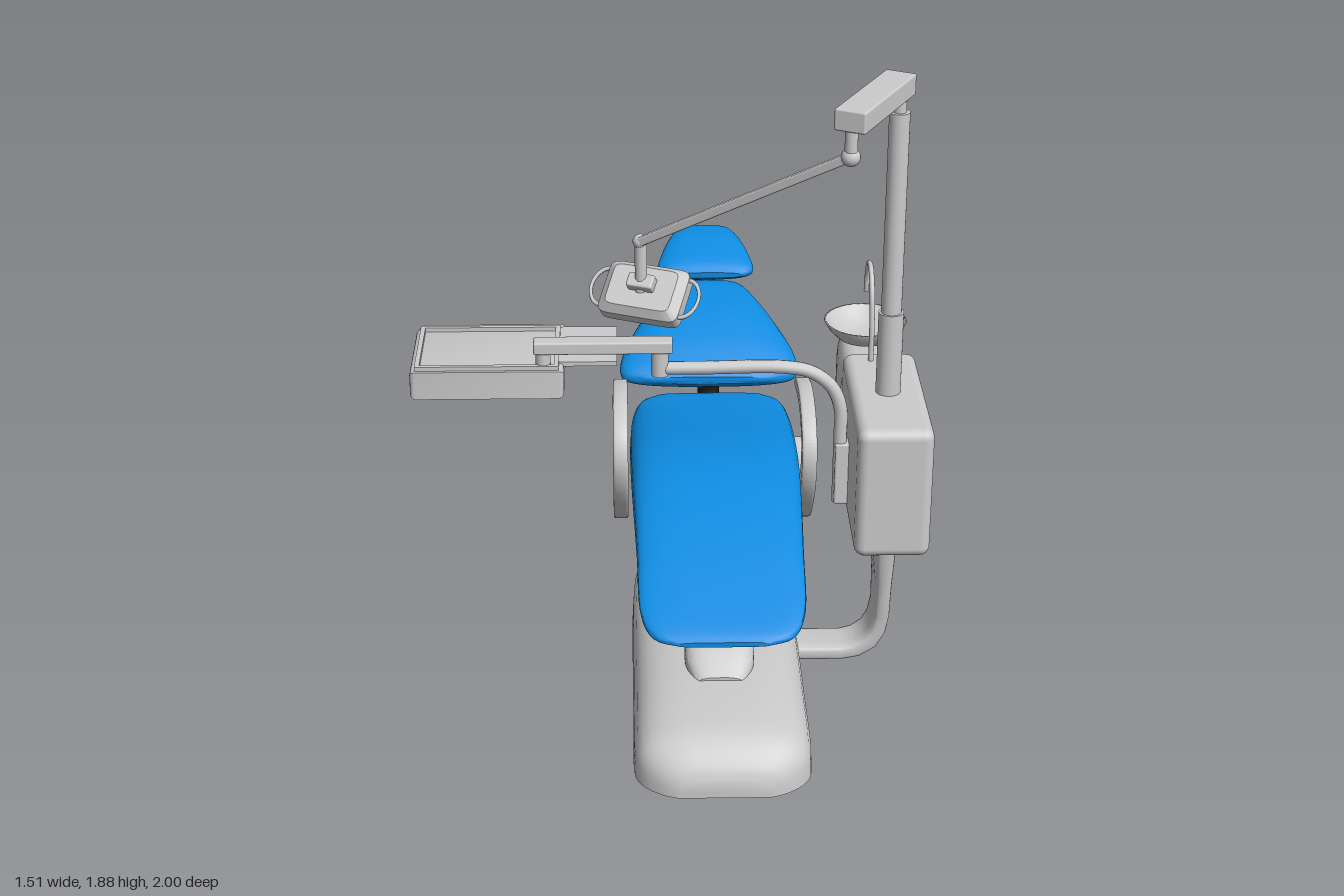
import * as THREE from 'three';
import { toCreasedNormals } from 'three/addons/utils/BufferGeometryUtils.js';
import { RoundedBoxGeometry } from 'three/addons/geometries/RoundedBoxGeometry.js';

const V = (x, y, z) => new THREE.Vector3(x, y, z);
const grey = new THREE.MeshStandardMaterial({ color: 0xcccccc });
const greyThin = new THREE.MeshStandardMaterial({ color: 0xcccccc, side: THREE.DoubleSide });
const blue = new THREE.MeshStandardMaterial({ color: 0x0d8be0 });
const black = new THREE.MeshStandardMaterial({ color: 0x111111 });
const CX = 0.145; // chair centre line

// Superellipse ring around c with half axes u and v; flat cuts off the lower half
function ring(c, u, v, e, flat = false, n = 32) {
  const pow = (t) => Math.sign(t) * Math.abs(t) ** (2 / e);
  return Array.from({ length: n }, (_, i) => {
    const a = (i / n) * Math.PI * 2, s = pow(Math.sin(a));
    return c.clone().addScaledVector(u, pow(Math.cos(a))).addScaledVector(v, flat ? Math.max(0, s) : s);
  });
}

// Closed skin over rings that advance along u x v
function loft(rings, crease = 0.7) {
  const n = rings[0].length, last = rings.length - 1, index = [];
  const pts = rings.flat();
  for (let i = 0; i < last; i++) for (let j = 0; j < n; j++) {
    const k = (j + 1) % n, a = i * n + j, b = i * n + k;
    index.push(a, b, b + n, a, b + n, a + n);
  }
  for (const [r, start] of [[0, true], [last, false]]) {
    const mid = pts.length;
    pts.push(rings[r].reduce((s, p) => s.add(p), V(0, 0, 0)).divideScalar(n));
    for (let j = 0; j < n; j++) {
      const a = r * n + j, b = r * n + (j + 1) % n;
      index.push(mid, start ? b : a, start ? a : b);
    }
  }
  const g = new THREE.BufferGeometry().setFromPoints(pts);
  g.setIndex(index);
  return toCreasedNormals(g, crease);
}

// Smooth body along z from stations [z, halfWidth, bottom, top], back to front
function body(cx, stations, e, flat = false, steps = 36) {
  const spline = (f) => new THREE.CatmullRomCurve3(stations.map(f), false, 'catmullrom');
  const A = spline((s) => V(s[0], s[1], 0)), B = spline((s) => V(s[2], s[3], 0));
  return loft(Array.from({ length: steps + 1 }, (_, i) => {
    const { x: z, y: w } = A.getPoint(i / steps), { x: lo, y: hi } = B.getPoint(i / steps);
    return flat ? ring(V(cx, lo, z), V(w, 0, 0), V(0, hi - lo, 0), e, true)
      : ring(V(cx, (lo + hi) / 2, z), V(w, 0, 0), V(0, (hi - lo) / 2, 0), e);
  }));
}

// Side outline in (z, y) extruded across x, centred on x = 0
function sideExtrude(shape, width, bevel) {
  const g = new THREE.ExtrudeGeometry(shape, {
    depth: width - 2 * bevel, bevelSize: bevel, bevelThickness: bevel, bevelOffset: -bevel, bevelSegments: 3, curveSegments: 40,
  });
  g.rotateY(-Math.PI / 2).translate(width / 2 - bevel, 0, 0);
  return toCreasedNormals(g, 0.6);
}

const tube = (pts, r, seg = 32) => new THREE.TubeGeometry(new THREE.CatmullRomCurve3(pts), seg, r, 12);

export function createModel() {
  const model = new THREE.Group();
  const add = (name, geo, mat = grey, x = 0, y = 0, z = 0, parent = model) => {
    const m = new THREE.Mesh(geo, mat);
    m.name = name;
    m.position.set(x, y, z);
    parent.add(m);
    return m;
  };
  const post = (name, x, z, y0, y1, r, parent) =>
    add(name, new THREE.CylinderGeometry(r, r, y1 - y0, 20), grey, x, (y0 + y1) / 2, z, parent);

  // Foot and lifting arm
  add('base', body(CX, [[-0.31, 0.15, 0, 0.03], [-0.28, 0.2, 0, 0.06], [-0.2, 0.24, 0, 0.085], [0, 0.253, 0, 0.125],
    [0.3, 0.255, 0, 0.16], [0.6, 0.255, 0, 0.172], [0.85, 0.255, 0, 0.16], [0.93, 0.235, 0, 0.135], [0.98, 0.18, 0, 0.09], [1, 0.13, 0, 0.05]], 3.4, true));
  add('liftArm', body(CX, [[-0.12, 0.08, 0.5, 0.58], [0.05, 0.08, 0.4, 0.57], [0.2, 0.08, 0.27, 0.46], [0.35, 0.085, 0.17, 0.33],
    [0.47, 0.1, 0.13, 0.275], [0.58, 0.1, 0.12, 0.235], [0.66, 0.07, 0.12, 0.18]], 3));

  // Cushions
  add('seat', body(CX, [[-0.34, 0.17, 0.59, 0.615], [-0.31, 0.225, 0.535, 0.62], [-0.24, 0.25, 0.46, 0.625], [-0.1, 0.257, 0.46, 0.64],
    [0.1, 0.257, 0.475, 0.66], [0.3, 0.252, 0.485, 0.645], [0.55, 0.242, 0.48, 0.57], [0.75, 0.235, 0.435, 0.49],
    [0.84, 0.2, 0.415, 0.45], [0.87, 0.13, 0.415, 0.43]], 3.6), blue);
  add('backrest', body(CX, [[-0.81, 0.08, 0.785, 0.805], [-0.79, 0.12, 0.755, 0.815], [-0.73, 0.16, 0.71, 0.815], [-0.62, 0.22, 0.65, 0.79],
    [-0.5, 0.275, 0.61, 0.74], [-0.43, 0.288, 0.6, 0.7], [-0.395, 0.265, 0.61, 0.675], [-0.375, 0.18, 0.63, 0.655]], 2.7), blue);
  add('headrest', body(CX, [[-1, 0.055, 0.918, 0.93], [-0.98, 0.09, 0.9, 0.932], [-0.92, 0.125, 0.86, 0.926], [-0.84, 0.153, 0.825, 0.9],
    [-0.79, 0.158, 0.818, 0.878], [-0.76, 0.12, 0.835, 0.855]], 2.6), blue);
  for (const [name, pts] of [
    ['backBracket', [[-0.27, 0.52], [-0.33, 0.495], [-0.4, 0.5], [-0.45, 0.54], [-0.47, 0.63]]],
    ['headBracket', [[-0.77, 0.77], [-0.82, 0.775], [-0.85, 0.8], [-0.86, 0.85]]],
  ]) add(name, tube(pts.map(([z, y]) => V(0, y, z)), 0.014), black, CX).scale.x = 2.5;

  // Armrests: a curved plate that sweeps up and back over itself
  const arm = new THREE.Shape().moveTo(-0.37, 0.36);
  arm.splineThru([[-0.33, 0.28], [-0.2, 0.26], [-0.05, 0.32], [0.05, 0.415], [0.12, 0.52], [0.14, 0.62], [0.1, 0.7], [0, 0.748],
    [-0.12, 0.75], [-0.23, 0.72], [-0.245, 0.685], [-0.12, 0.705], [0, 0.7], [0.07, 0.655], [0.08, 0.59], [0.04, 0.525], [-0.03, 0.475],
    [-0.13, 0.44], [-0.25, 0.43], [-0.34, 0.455], [-0.37, 0.36]].map(([z, y]) => new THREE.Vector2(z, y)));
  const armGeo = sideExtrude(arm, 0.046, 0.008);
  for (const s of [-1, 1]) add(s < 0 ? 'rightArmrest' : 'leftArmrest', armGeo, grey, CX + s * 0.287);

  // Service unit on its curved leg: [x, y, direction, half thickness, half depth, z]
  const leg = [[0.36, 0.045, 0, 0.025, 0.065, 0.262], [0.53, 0.045, 0, 0.025, 0.065, 0.262], [0.575, 0.055, 0.4, 0.027, 0.066, 0.262],
    [0.615, 0.083, 0.85, 0.028, 0.068, 0.262], [0.638, 0.125, 1.25, 0.027, 0.072, 0.261], [0.648, 0.18, 1.5, 0.025, 0.08, 0.26],
    [0.65, 0.3, 1.57, 0.026, 0.1, 0.256], [0.648, 0.4, 1.57, 0.034, 0.125, 0.245], [0.645, 0.52, 1.57, 0.046, 0.167, 0.225]];
  add('unitLeg', loft(leg.map(([x, y, a, t, d, z]) => ring(V(x, y, z), V(-Math.sin(a) * t, Math.cos(a) * t, 0), V(0, 0, d), 4))));
  add('unitCabinet', new RoundedBoxGeometry(0.22, 0.41, 0.55, 4, 0.03), grey, 0.645, 0.705, 0.26);
  add('basinHousing', body(0.63, [[-0.272, 0.06, 0.63, 0.87], [-0.255, 0.085, 0.585, 0.88], [-0.2, 0.095, 0.548, 0.885],
    [-0.1, 0.1, 0.54, 0.89], [0.02, 0.1, 0.54, 0.89]], 5));
  const bowl = [[0, 0.885], [0.045, 0.887], [0.085, 0.905], [0.11, 0.93], [0.127, 0.957], [0.12, 0.957], [0.1, 0.93], [0.075, 0.912], [0.04, 0.9], [0, 0.898]];
  add('basin', new THREE.LatheGeometry(bowl.map(([r, y]) => new THREE.Vector2(r, y)), 32), greyThin, 0.615, 0, -0.143);
  add('tap', tube([[0.05, 0.9], [0.045, 1.03], [0.02, 1.12], [-0.04, 1.175], [-0.1, 1.165], [-0.135, 1.11], [-0.145, 1.055]]
    .map(([z, y]) => V(0, y, z)), 0.008), grey, 0.615);

  // Lamp mast, top beam and sloping arm
  post('mastSleeve', 0.645, 0.262, 0.9, 1.165, 0.037);
  post('mast', 0.645, 0.262, 1.16, 1.775, 0.03);
  post('mastPin', 0.645, 0.262, 1.77, 1.83, 0.019);
  add('topBeam', new RoundedBoxGeometry(0.092, 0.062, 0.375, 2, 0.006), grey, 0.563, 1.85, 0.39).rotation.y = -0.48;
  post('beamPin', 0.485, 0.535, 1.74, 1.83, 0.018);
  add('beamJoint', new THREE.SphereGeometry(0.027, 20, 14), grey, 0.485, 1.742, 0.532);
  const p = V(0.485, 1.742, 0.53), q = V(-0.08, 1.365, 0.2);
  const mid = p.clone().add(q).multiplyScalar(0.5);
  add('lampArm', new RoundedBoxGeometry(0.038, 0.026, p.distanceTo(q), 2, 0.005), grey, mid.x, mid.y, mid.z).lookAt(p);
  add('lampJoint', new THREE.SphereGeometry(0.022, 16, 12), grey, q.x, q.y, q.z);
  post('lampPin', -0.078, 0.2, 1.21, 1.365, 0.018);

  // Lamp head with a tapered shell, bracket and two handles
  const lamp = new THREE.Group();
  lamp.name = 'lampHead';
  lamp.position.set(-0.068, 1.195, 0.18);
  lamp.rotation.set(-0.85, -0.4, 0, 'YXZ');
  model.add(lamp);
  add('lampShell', loft([[-0.03, 0.125, 0.085], [0.01, 0.125, 0.085], [0.035, 0.1, 0.065]].map(([z, w, h]) =>
    ring(V(0, 0, z), V(w, 0, 0), V(0, h, 0), 9)), 0.5), grey, 0, 0, 0, lamp);
  add('lampBracket', new RoundedBoxGeometry(0.08, 0.045, 0.04, 2, 0.006), grey, 0, 0.01, 0.045, lamp);
  for (const s of [-1, 1]) {
    const h = add('lampHandle', new THREE.TorusGeometry(0.06, 0.007, 8, 20, Math.PI).rotateZ(-s * Math.PI / 2), grey, s * 0.122, 0, 0, lamp);
    h.scale.x = 0.75;
  }

  // Instrument table: swing arm, plate and tray with a sloping rear lip
  add('tablePipe', tube([[-0.03, 0.985], [0.1, 0.985], [0.34, 0.985], [0.42, 0.968], [0.48, 0.92], [0.508, 0.85], [0.51, 0.75], [0.51, 0.54]]
    .map(([x, y]) => V(x, y, 0.25)), 0.02, 60));
  add('pipeMount', new RoundedBoxGeometry(0.05, 0.2, 0.05, 2, 0.006), grey, 0.52, 0.64, 0.25);
  post('pipeJoint', -0.025, 0.25, 0.965, 1.05, 0.026);
  add('swingArm', new RoundedBoxGeometry(0.405, 0.038, 0.052, 2, 0.006), grey, -0.19, 1.06, 0.252);
  post('trayJoint', -0.365, 0.25, 0.985, 1.05, 0.022);
  add('sidePlate', new THREE.BoxGeometry(0.17, 0.014, 0.25), grey, -0.235, 0.988, 0.1);
  const profile = new THREE.Shape([[0.285, 0.905], [0.285, 0.992], [-0.02, 0.992], [-0.155, 0.945], [-0.155, 0.905]]
    .map(([z, y]) => new THREE.Vector2(z, y)));
  add('tray', sideExtrude(profile, 0.45, 0.015), grey, -0.53);
  const rimW = 0.42, rimD = 0.29, bar = 0.014;
  for (const s of [-1, 1]) {
    add('trayRim', new THREE.BoxGeometry(rimW, 0.016, bar), grey, -0.53, 0.997, 0.13 + s * (rimD - bar) / 2);
    add('trayRim', new THREE.BoxGeometry(bar, 0.016, rimD), grey, -0.53 + s * (rimW - bar) / 2, 0.997, 0.13);
  }
  return model;
}
